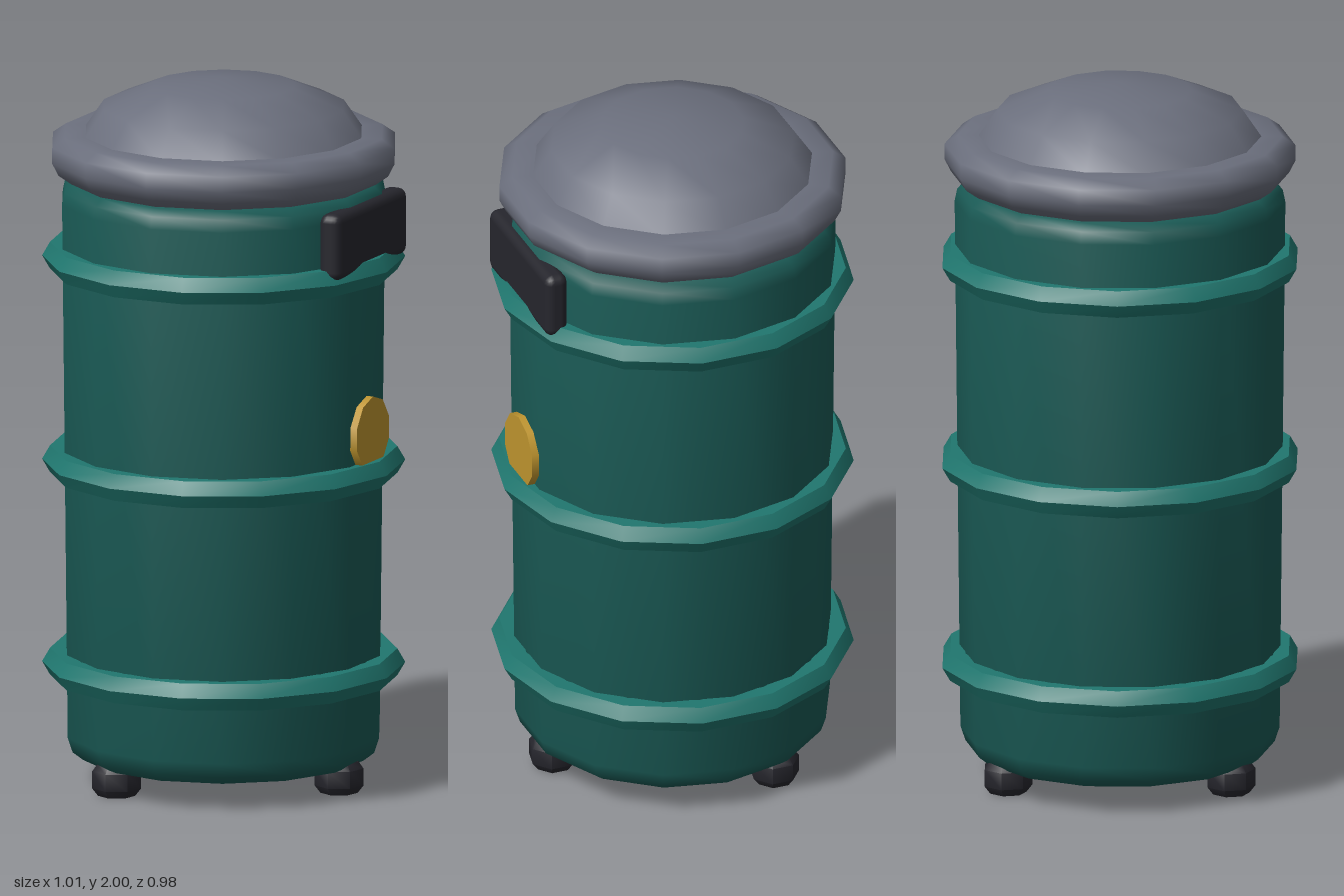
import * as THREE from 'three';
import { toCreasedNormals } from 'three/addons/utils/BufferGeometryUtils.js';
import { RoundedBoxGeometry } from 'three/addons/geometries/RoundedBoxGeometry.js';

const SIDES = 14;

function material(color) {
  return new THREE.MeshStandardMaterial({ color });
}

// Revolved solid from [radius, height] pairs, listed from bottom to top
function lathe(profile, sides, crease) {
  const points = profile.map(([r, y]) => new THREE.Vector2(r, y));
  return toCreasedNormals(new THREE.LatheGeometry(points, sides), crease);
}

export function createModel() {
  const model = new THREE.Group();
  model.name = 'wasteBin';

  const bodyGreen = material(0x1a5a55);
  const hoopGreen = material(0x20776f);
  const lidGrey = material(0x6b6f7d);
  const black = material(0x26262d);
  const brass = material(0xc0962f);

  function add(name, geometry, mat, x = 0, y = 0, z = 0) {
    const mesh = new THREE.Mesh(geometry, mat);
    mesh.name = name;
    mesh.position.set(x, y, z);
    model.add(mesh);
    return mesh;
  }

  // Slightly tapered drum with rounded ends
  add('body', lathe([
    [0, 0.075], [0.4, 0.075], [0.43, 0.098], [0.444, 0.14],
    [0.46, 1.655], [0.453, 1.69], [0.43, 1.71], [0, 1.715],
  ], SIDES, 0.85), bodyGreen);

  // Hoops with a six-sided section
  for (const y of [0.337, 0.913, 1.492]) {
    const hoop = new THREE.TorusGeometry(0.461, 0.044, 6, SIDES).rotateX(Math.PI / 2);
    add('hoop', toCreasedNormals(hoop, 0.8), hoopGreen, 0, y, 0);
  }

  // Lid: thick rim with a shallow dome
  add('lidRim', lathe([
    [0, 1.715], [0.435, 1.715], [0.47, 1.74], [0.488, 1.775],
    [0.488, 1.82], [0.452, 1.845], [0.38, 1.845],
  ], SIDES, 1.1), lidGrey);
  add('lidDome', lathe([
    [0.4, 1.835], [0.342, 1.92], [0.2, 1.978], [0, 2],
  ], SIDES, 1.1), lidGrey);

  // Grip plate and round badge on the left side
  add('handle', new RoundedBoxGeometry(0.066, 0.19, 0.44, 2, 0.025), black, 0.433, 1.595, 0);
  const disc = new THREE.CylinderGeometry(0.105, 0.105, 0.04, 10)
    .rotateY(Math.PI / 2).rotateZ(-Math.PI / 2);
  add('badge', disc, brass, 0.443, 1.03, 0);

  // Three stubby feet
  const footShape = lathe([
    [0, 0], [0.053, 0], [0.07, 0.022], [0.07, 0.07], [0.055, 0.09], [0, 0.09],
  ], 7, 0.95);
  for (let i = 0; i < 3; i++) {
    const angle = (i * Math.PI * 2) / 3;
    add('foot', footShape, black, 0.358 * Math.cos(angle), 0, 0.358 * Math.sin(angle));
  }

  return model;
}
